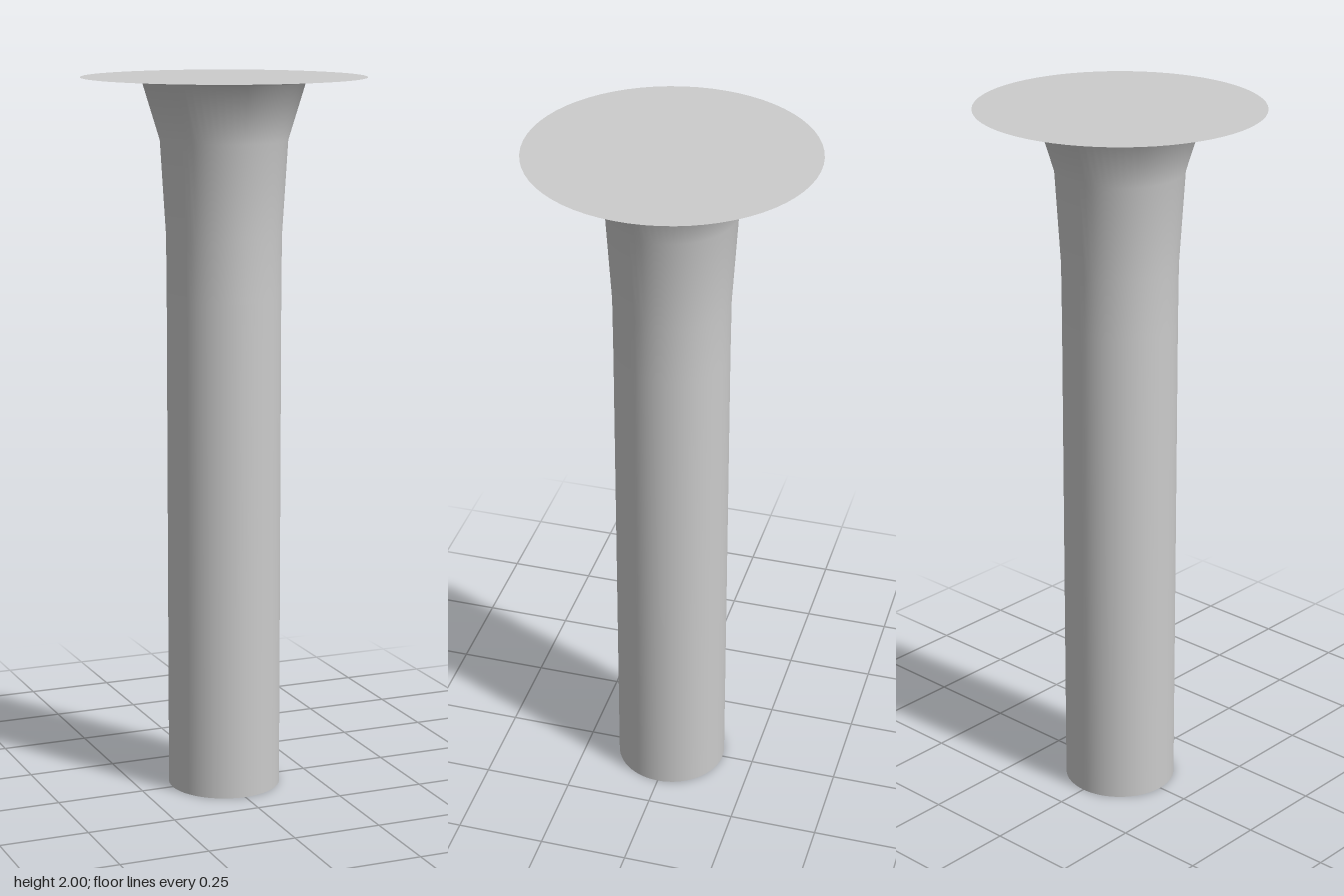
import * as THREE from 'three';

export function createModel() {
  const group = new THREE.Group();
  const material = new THREE.MeshStandardMaterial({ color: 0xcccccc, side: THREE.DoubleSide });
  const segments = 64;
  const topRadius = 0.39;

  // Hollow shaft, open at the foot, flaring out into a thin rim
  const profile = [
    [0.158, 0], [0.158, 1.4], [0.159, 1.57], [0.175, 1.83],
    [0.222, 1.985], [0.29, 1.996], [topRadius, 2],
  ].map(([r, y]) => new THREE.Vector2(r, y));
  const shaft = new THREE.Mesh(new THREE.LatheGeometry(profile, segments), material);
  shaft.name = 'flaredShaft';
  group.add(shaft);

  // Flat disc closing the top
  const disc = new THREE.Mesh(new THREE.CircleGeometry(topRadius, segments), material);
  disc.name = 'topDisc';
  disc.rotation.x = -Math.PI / 2;
  disc.position.y = 2;
  group.add(disc);

  return group;
}
